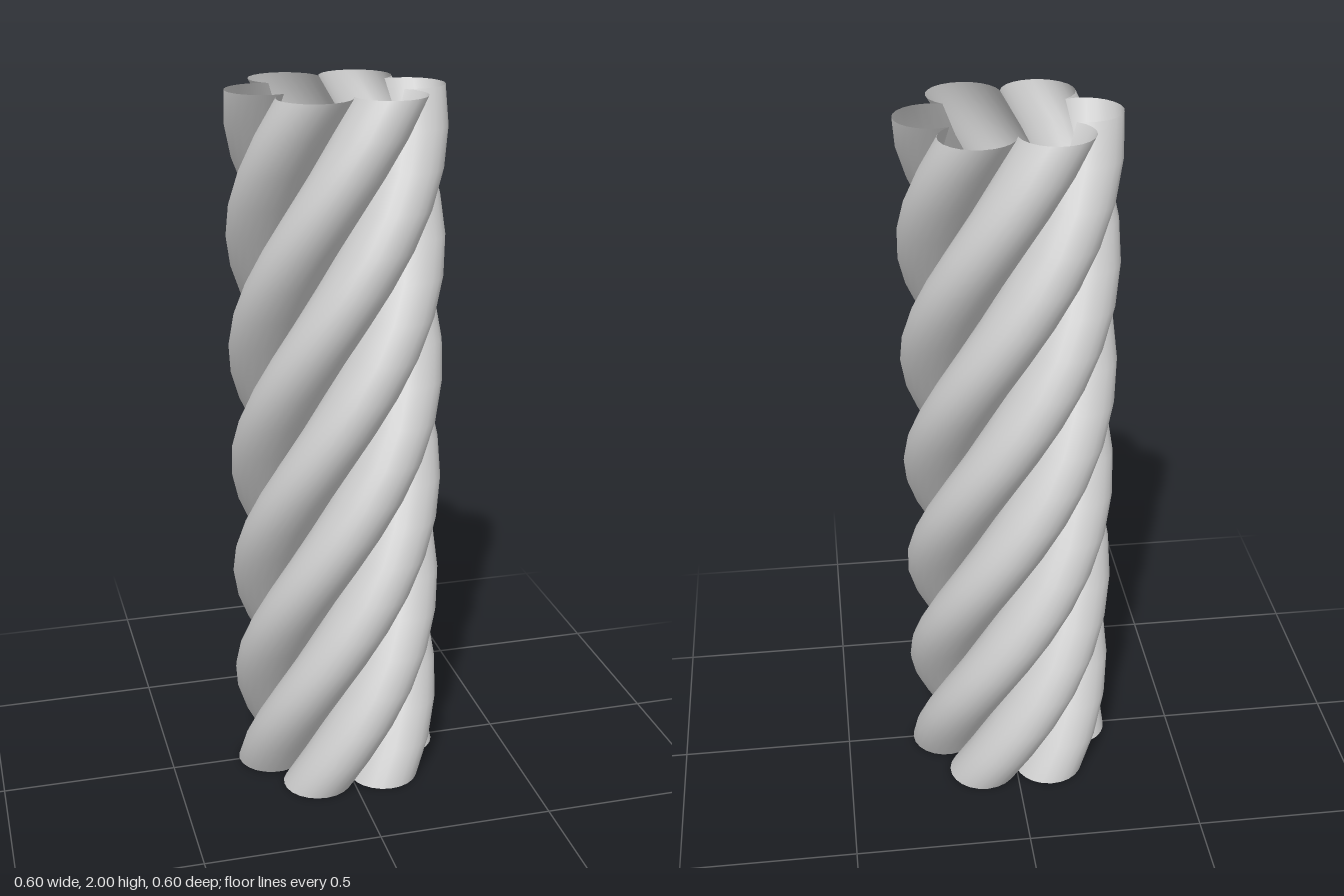
import * as THREE from 'three';
import { ParametricGeometry } from 'three/addons/geometries/ParametricGeometry.js';

const HEIGHT = 2;
const STRANDS = 6;
const TWIST = Math.PI * 2;   // one full turn over the height
const CENTRE = 0.199;        // distance of each strand's centre from the axis
const GROOVE = 0.186;        // distance of the grooves from the axis

export function createModel() {
  const group = new THREE.Group();
  group.name = 'twistedColumn';

  // Each strand is an arc that runs from groove to groove
  const half = Math.PI / STRANDS;
  const gx = GROOVE * Math.sin(half);
  const gz = GROOVE * Math.cos(half) - CENTRE;
  const radius = Math.hypot(gx, gz);
  const sweep = Math.atan2(gx, gz);

  // u goes round the arc, v goes up while the arc turns about the axis
  const strandSurface = (u, v, target) => {
    const a = (2 * u - 1) * sweep;
    const x = radius * Math.sin(a);
    const z = CENTRE + radius * Math.cos(a);
    const t = v * TWIST;
    target.set(
      x * Math.cos(t) + z * Math.sin(t),
      v * HEIGHT,
      z * Math.cos(t) - x * Math.sin(t)
    );
  };

  const geometry = new ParametricGeometry(strandSurface, 14, 20);
  const material = new THREE.MeshStandardMaterial({ color: 0xcccccc, side: THREE.DoubleSide });

  // Open, hollow shell of six strands, one of them facing +x at the base
  for (let i = 0; i < STRANDS; i++) {
    const strand = new THREE.Mesh(geometry, material);
    strand.name = `strand${i + 1}`;
    strand.rotation.y = Math.PI / 2 + (i * Math.PI * 2) / STRANDS;
    group.add(strand);
  }
  return group;
}
